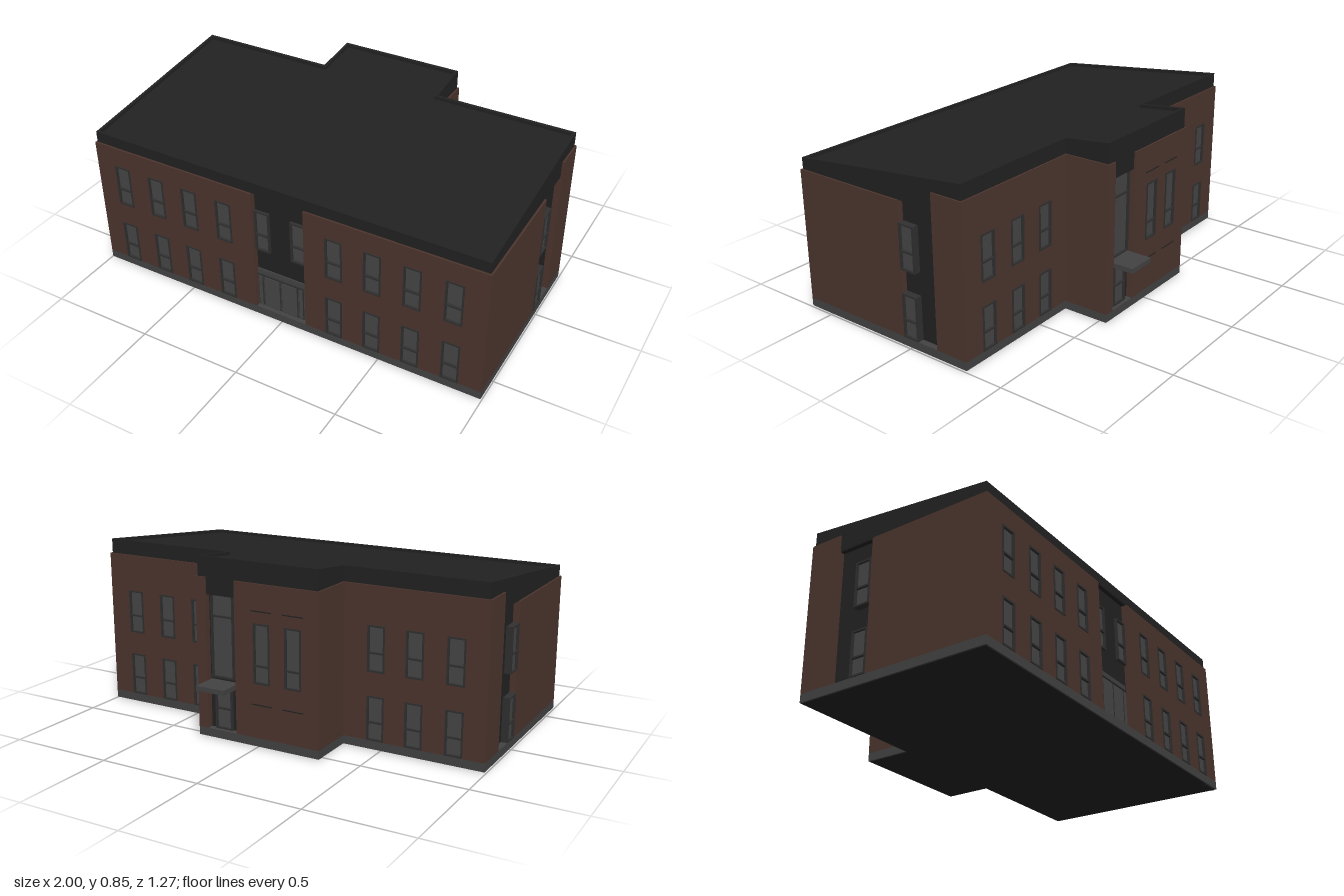
import * as THREE from 'three';

const mat = (name, color) => {
  const m = new THREE.MeshStandardMaterial({ color });
  m.name = name;
  return m;
};

export function createModel() {
  const brick = mat('brick', 0x4c352d);
  const dark = mat('dark cladding', 0x222222);
  const grey = mat('concrete', 0x434343);
  const glass = mat('glass', 0x464646);
  const frameMat = mat('window frame', 0x303030);

  const model = new THREE.Group();
  model.name = 'building';

  const add = (parent, name, geo, material) => {
    const m = new THREE.Mesh(geo, material);
    m.name = name;
    parent.add(m);
    return m;
  };
  // box given by its limits
  const box = (parent, name, material, x0, x1, y0, y1, z0, z1) => {
    const m = add(parent, name, new THREE.BoxGeometry(x1 - x0, y1 - y0, z1 - z0), material);
    m.position.set((x0 + x1) / 2, (y0 + y1) / 2, (z0 + z1) / 2);
    return m;
  };

  // T-shaped footprint, pulled in by d (shape y is -z)
  const X = 0.995, W = 0.317, FRONT = 0.628, BACK = 0.315, REAR = 0.54;
  const outline = d => [
    [-X + d, -FRONT + d], [X - d, -FRONT + d], [X - d, BACK - d], [W - d, BACK - d],
    [W - d, REAR - d], [-W + d, REAR - d], [-W + d, BACK - d], [-X + d, BACK - d],
  ].map(p => new THREE.Vector2(...p));
  const slope = z => 0.73 + (0.62 - z) * 0.1035;

  // Footprint raised from y0 to y1; without y1 the top follows the roof slope
  const slab = (name, material, d, y0, y1, drop = 0, hole = 0) => {
    const shape = new THREE.Shape(outline(d));
    if (hole) shape.holes.push(new THREE.Path(outline(hole)));
    const geo = new THREE.ExtrudeGeometry(shape, { depth: 1, bevelEnabled: false });
    geo.rotateX(-Math.PI / 2);
    const p = geo.attributes.position;
    for (let i = 0; i < p.count; i++) {
      const top = y1 ?? slope(p.getZ(i)) - drop;
      p.setY(i, p.getY(i) > 0.5 ? top : y0);
    }
    geo.computeVertexNormals();
    return add(model, name, geo, material);
  };

  slab('underside', dark, 0.006, 0.003, 0.02);
  slab('plinth', grey, 0, 0.005, 0.045);
  slab('core', dark, 0.03, 0.04, 0.69);
  slab('roof', dark, 0.009, 0.675, undefined, 0.016);
  slab('parapet', dark, 0.008, 0.68, undefined, 0, 0.022);
  box(model, 'frontStep', dark, 0.89, 0.985, 0, 0.006, 0.6, 0.622);

  // Wall frame: local x runs along the wall, local z = 0 is its outer face
  const wall = (name, angle, dist) => {
    const g = new THREE.Group();
    g.name = name;
    g.rotation.y = angle;
    g.position.set(Math.sin(angle) * dist, 0, Math.cos(angle) * dist);
    model.add(g);
    return g;
  };
  const rect = (Type, [a, b, c, d]) => new Type([[a, c], [b, c], [b, d], [a, d]].map(p => new THREE.Vector2(...p)));

  // Brick skin with openings [x0, x1, y0, y1]
  const skin = (parent, limits, openings = []) => {
    const s = rect(THREE.Shape, limits);
    openings.forEach(o => s.holes.push(rect(THREE.Path, o)));
    const geo = new THREE.ExtrudeGeometry(s, { depth: 0.03, bevelEnabled: false });
    geo.translate(0, 0, -0.03);
    add(parent, 'brickWall', geo, brick);
  };

  // Frame with a cross rail and two panes
  const sash = (parent, [x0, x1, y0, y1], z = 0, split = 0.41, name = 'window') => {
    const g = new THREE.Group();
    g.name = name;
    parent.add(g);
    const t = 0.008, ym = y0 + (y1 - y0) * split;
    const s = rect(THREE.Shape, [x0, x1, y0, y1]);
    s.holes.push(rect(THREE.Path, [x0 + t, x1 - t, y0 + t, ym - t / 2]));
    s.holes.push(rect(THREE.Path, [x0 + t, x1 - t, ym + t / 2, y1 - t]));
    const geo = new THREE.ExtrudeGeometry(s, { depth: 0.032, bevelEnabled: false });
    geo.translate(0, 0, z - 0.029);
    add(g, 'frame', geo, frameMat);
    box(g, 'panes', glass, x0 + 0.004, x1 - 0.004, y0 + 0.004, y1 - 0.004, z - 0.028, z - 0.008);
  };
  const UPPER = [0.365, 0.578], LOWER = [0.046, 0.255];
  const stack = centres => centres.flatMap(c => [UPPER, LOWER].map(r => [c - 0.042, c + 0.042, ...r]));
  const windowWall = (parent, limits, centres) => {
    const openings = stack(centres);
    skin(parent, limits, openings);
    openings.forEach(o => sash(parent, o));
  };

  // Front: two brick wings around the dark entrance bay
  const front = wall('frontWall', 0, FRONT);
  windowWall(front, [-X, -0.133, 0.045, 0.675], [-0.85, -0.66, -0.475, -0.287]);
  windowWall(front, [0.131, X, 0.045, 0.675], [0.28, 0.467, 0.655, 0.845]);
  sash(front, [-0.133, -0.057, ...UPPER], -0.02);
  sash(front, [0.052, 0.13, ...UPPER], -0.02);

  // Entrance doors with transom
  const entrance = new THREE.Group();
  entrance.name = 'entrance';
  front.add(entrance);
  box(entrance, 'doorSurround', grey, -0.133, 0.115, 0.045, 0.255, -0.04, -0.024);
  box(entrance, 'transomBar', frameMat, -0.133, 0.115, 0.224, 0.229, -0.03, -0.017);
  for (const [a, b] of [[-0.128, -0.104], [-0.098, -0.012], [-0.006, 0.08], [0.086, 0.111]]) {
    box(entrance, 'doorFrame', frameMat, a, b, 0.047, 0.222, -0.03, -0.02);
    box(entrance, 'doorPane', glass, a + 0.004, b - 0.004, 0.052, 0.218, -0.03, -0.017);
  }

  // Back wings
  const back = wall('backWall', Math.PI, BACK);
  windowWall(back, [W - 0.01, X, 0.045, 0.755], [0.475, 0.66, 0.85]);
  windowWall(back, [-X, -W + 0.01, 0.045, 0.755], [-0.467, -0.655, -0.845]);

  // Rear projection: tall windows and the dark stair bay (local x is -x)
  const rear = wall('rearWall', Math.PI, REAR);
  const tall = [0.028, 0.188].map(c => [c - 0.042, c + 0.042, 0.3, 0.578]);
  skin(rear, [-0.112, W, 0.045, 0.755], tall);
  skin(rear, [-W, -0.265, 0.045, 0.755]);
  tall.forEach(o => {
    sash(rear, o, 0, 0.3, 'tallWindow');
    for (const y of [0.2, 0.63]) box(rear, 'brickCourse', dark, o[0] - 0.01, o[1] + 0.01, y, y + 0.005, -0.005, 0.002);
  });
  sash(rear, [-0.25, -0.13, 0.29, 0.69], -0.018, 0.72, 'stairWindow');
  sash(rear, [-0.235, -0.145, 0.046, 0.245], -0.018, 0.5, 'backDoor');
  box(rear, 'canopy', grey, -0.26, -0.112, 0.254, 0.277, -0.03, 0.095);

  // Ends, mirrored: brick, recessed window bay, brick
  for (const s of [1, -1]) {
    const end = wall(s > 0 ? 'leftEnd' : 'rightEnd', s * Math.PI / 2, X);
    const span = (z0, z1) => (s > 0 ? [-z1, -z0] : [z0, z1]);
    skin(end, [...span(0.037, FRONT), 0.045, 0.675]);
    skin(end, [...span(-BACK, -0.152), 0.045, 0.755]);
    for (const r of [UPPER, LOWER]) sash(end, [...span(-0.046, 0.036), ...r], 0);
    const side = wall('projectionSide', s * Math.PI / 2, W);
    skin(side, [...span(-REAR, -BACK + 0.01), 0.045, 0.755]);
  }
  return model;
}
